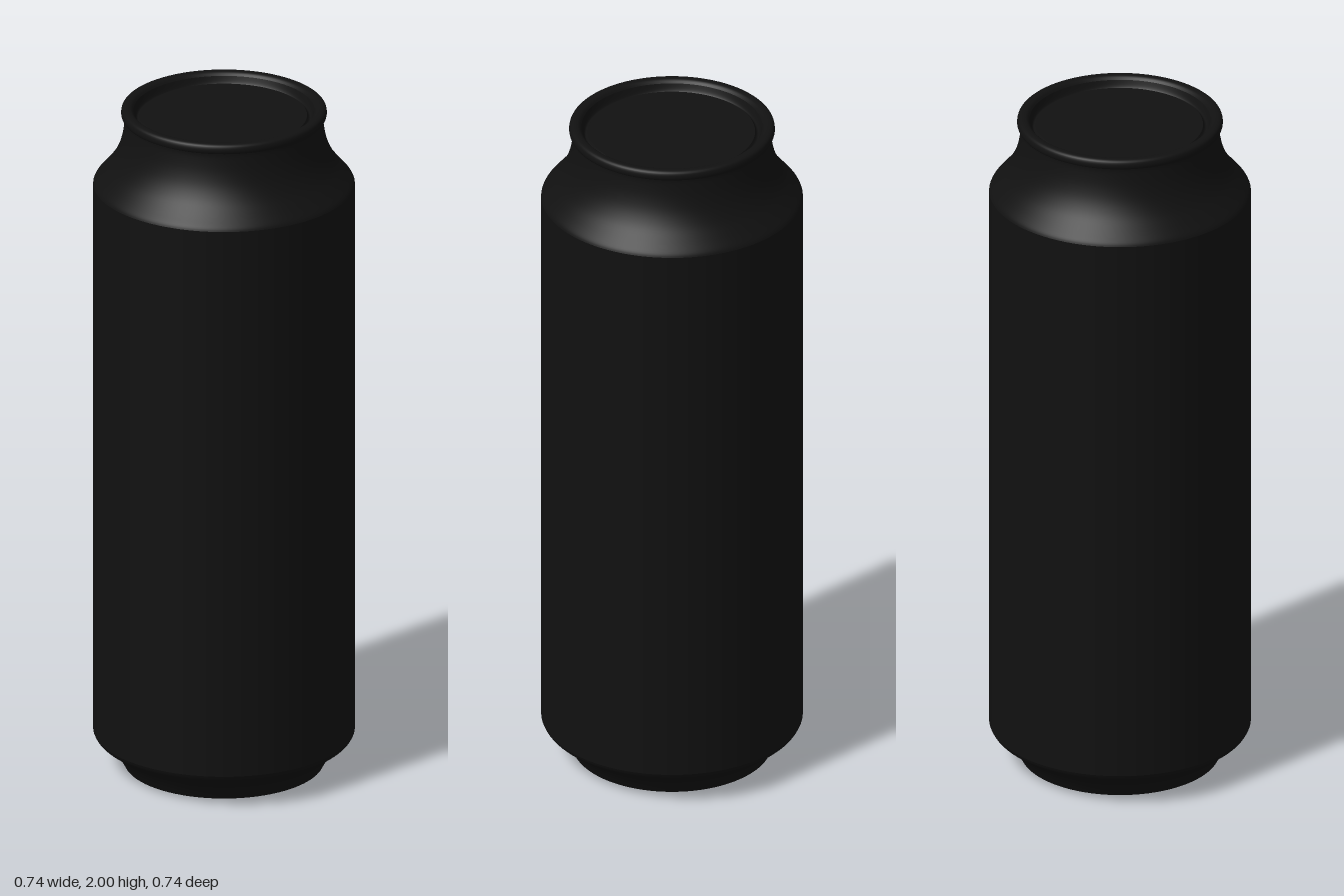
import * as THREE from 'three';

const SEGMENTS = 96;
const material = new THREE.MeshStandardMaterial({ color: 0x111111, side: THREE.DoubleSide });

// Profiles run from the underside centre, up the outside, to the lid centre.
const toPoints = (pairs) => pairs.map(([r, y]) => new THREE.Vector2(r, y));
const smooth = (pairs, n = 16) => new THREE.SplineCurve(toPoints(pairs)).getPoints(n);

function turned(name, points) {
  const mesh = new THREE.Mesh(new THREE.LatheGeometry(points, SEGMENTS), material);
  mesh.name = name;
  return mesh;
}

export function createModel() {
  const can = new THREE.Group();
  can.name = 'drinkCan';

  // Concave underside and the ring the can stands on
  can.add(turned('bottomDome', smooth([[0, 0.1], [0.1, 0.09], [0.18, 0.064], [0.23, 0.03], [0.247, 0.006]])));
  can.add(turned('standRing', smooth([[0.247, 0.006], [0.255, 0.001], [0.266, 0], [0.282, 0.003]], 10)));

  // Flared base, straight wall and tapering shoulder
  can.add(turned('baseFlare', smooth([[0.282, 0.003], [0.297, 0.03], [0.32, 0.06], [0.348, 0.08], [0.363, 0.092], [0.37, 0.105]], 20)));
  can.add(turned('wall', toPoints([[0.37, 0.105], [0.37, 1.768]])));
  can.add(turned('shoulder', smooth([[0.37, 1.768], [0.364, 1.779], [0.343, 1.803], [0.318, 1.835], [0.299, 1.872], [0.287, 1.913], [0.281, 1.955], [0.281, 1.97]], 28)));

  // Rolled rim bead
  can.add(turned('rim', smooth([[0.281, 1.97], [0.288, 1.973], [0.291, 1.983], [0.288, 1.995], [0.278, 2], [0.264, 1.998], [0.256, 1.99]], 20)));

  // Sunken lid with a shallow groove around its panel
  can.add(turned('lidGroove', smooth([[0.256, 1.99], [0.251, 1.975], [0.246, 1.967], [0.24, 1.968], [0.235, 1.975]], 14)));
  can.add(turned('lidPanel', toPoints([[0.235, 1.975], [0, 1.975]])));

  return can;
}
